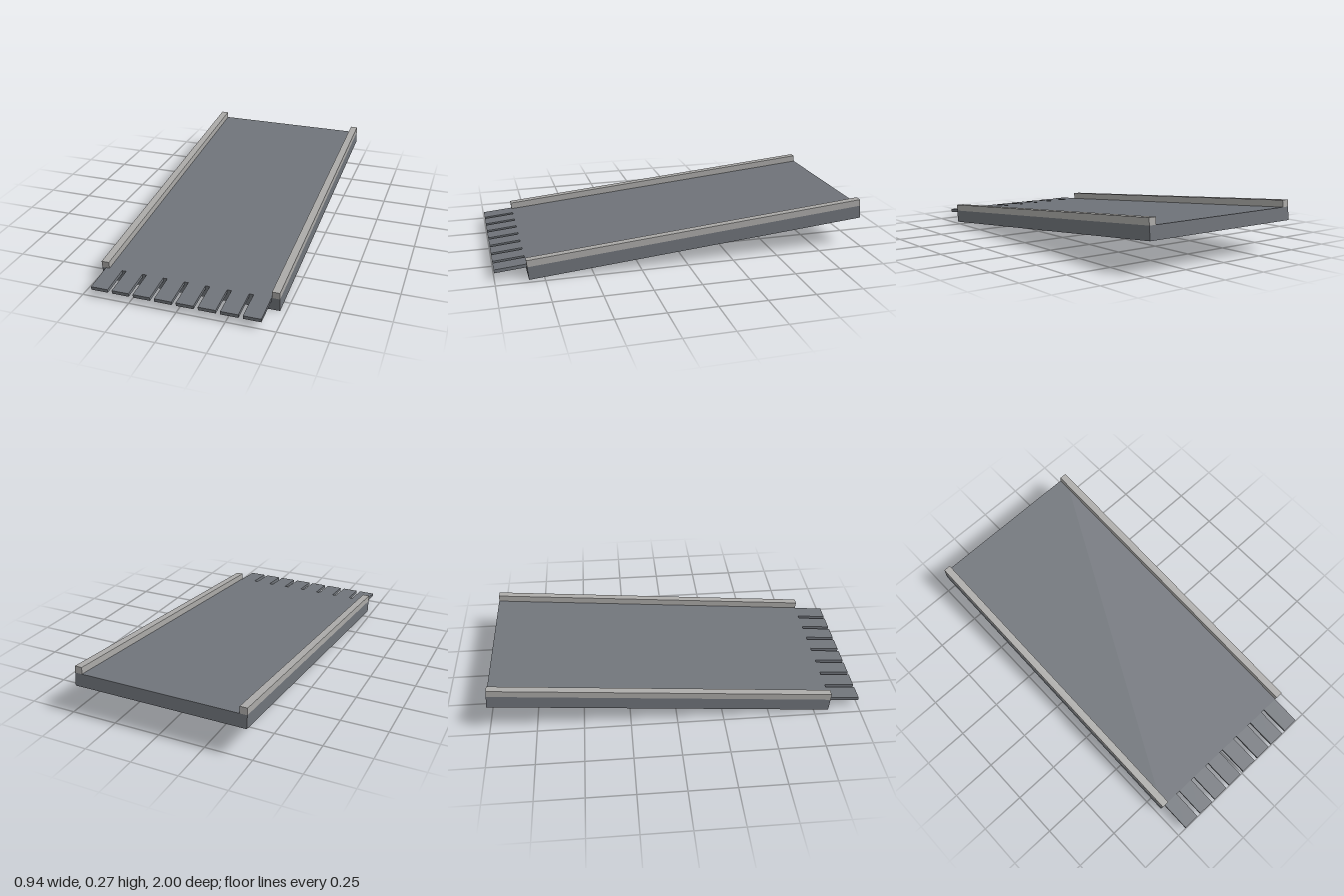
import * as THREE from 'three';

const SLOPE = THREE.MathUtils.degToRad(5);
const LENGTH = 1.836, THICK = 0.07, WIDTH = 0.94;

export function createModel() {
  const deckGrey = new THREE.MeshStandardMaterial({ color: 0x70747a });
  deckGrey.name = 'deckGrey';
  const railGrey = new THREE.MeshStandardMaterial({ color: 0xabaaa8 });
  railGrey.name = 'railGrey';

  const model = new THREE.Group();
  model.name = 'ramp';

  // Sloping frame: origin at the bottom front edge, deck running back along -z
  const frame = new THREE.Group();
  frame.name = 'slopedFrame';
  frame.position.z = 0.83;
  frame.rotation.x = SLOPE;
  model.add(frame);

  // Box given by its lowest corner and its size
  const addBox = (name, material, [x, y, z], [w, h, d]) => {
    const mesh = new THREE.Mesh(new THREE.BoxGeometry(w, h, d), material);
    mesh.name = name;
    mesh.position.set(x + w / 2, y + h / 2, z + d / 2);
    frame.add(mesh);
  };

  // Deck slab
  addBox('deck', deckGrey, [-WIDTH / 2, 0, -LENGTH], [WIDTH, THICK, LENGTH]);

  // Side rails
  const railWidth = 0.04, railHeight = 0.036;
  addBox('leftRail', railGrey, [WIDTH / 2 - railWidth, THICK, -LENGTH], [railWidth, railHeight, LENGTH]);
  addBox('rightRail', railGrey, [-WIDTH / 2, THICK, -LENGTH], [railWidth, railHeight, LENGTH]);

  // Thin fingers along the front lip, flush with the deck top
  const fingerThick = 0.018, fingerStep = 0.1125;
  for (let i = 0; i < 8; i++) {
    addBox(`finger${i + 1}`, deckGrey,
      [-0.45 + i * fingerStep, THICK - fingerThick, 0], [0.09, fingerThick, 0.1645]);
  }

  return model;
}
